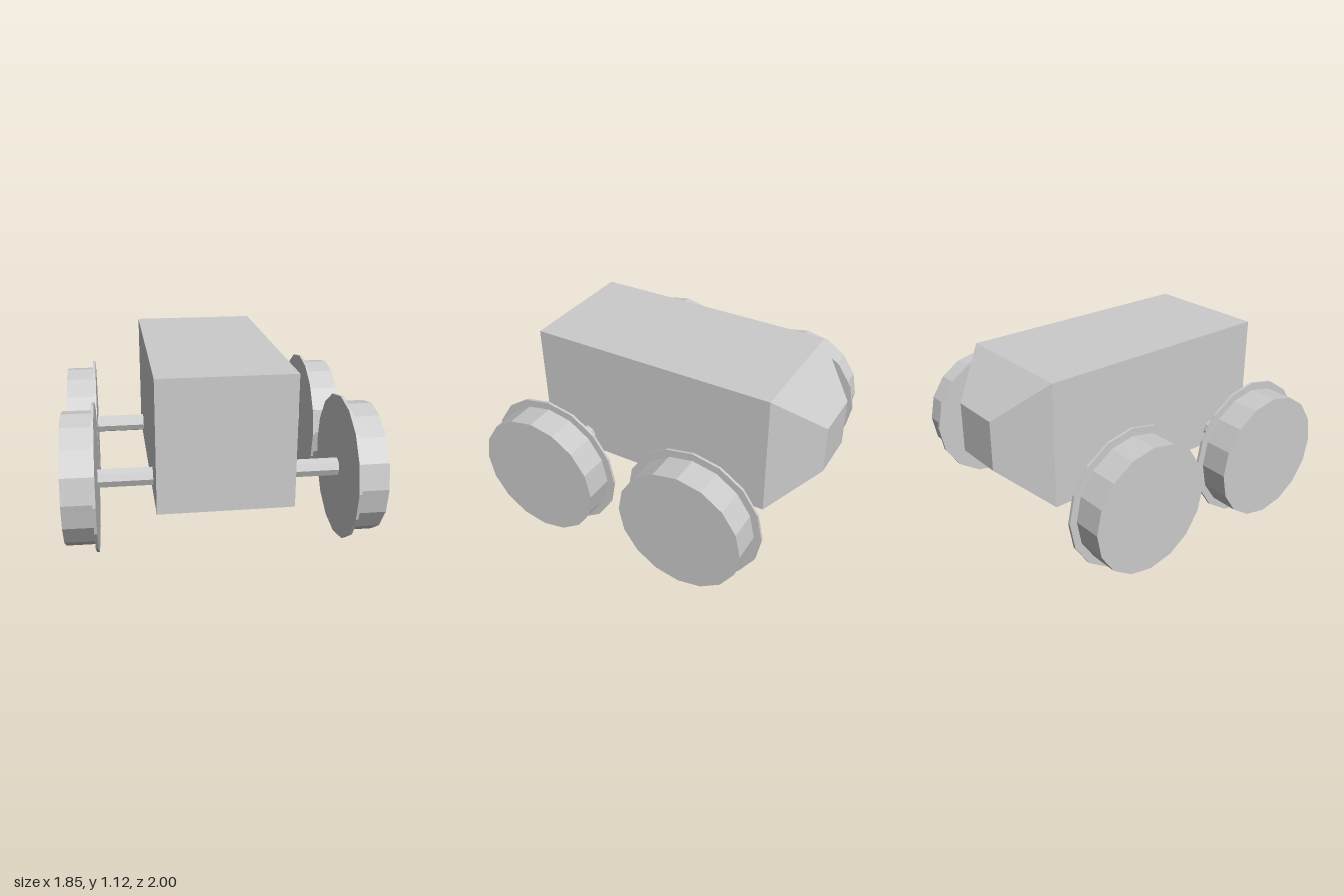
import * as THREE from 'three';

const material = new THREE.MeshStandardMaterial({ color: 0xcccccc, flatShading: true });

function addMesh(parent, name, geometry, x = 0, y = 0, z = 0) {
  const mesh = new THREE.Mesh(geometry, material);
  mesh.name = name;
  mesh.position.set(x, y, z);
  parent.add(mesh);
  return mesh;
}

// Cylinder lying along x, with a corner pointing straight up
function discGeometry(radius, length, sides) {
  return new THREE.CylinderGeometry(radius, radius, length, sides).rotateZ(Math.PI / 2);
}

// Wheel with a thin flange on its inner side; x is the flange's inner face
function makeWheel(name, x, z, yaw) {
  const wheel = new THREE.Group();
  const side = Math.sign(x);
  wheel.name = name;
  wheel.position.set(x, 0.447, z);
  wheel.rotation.y = yaw;
  addMesh(wheel, 'flange', discGeometry(0.442, 0.016, 16), side * 0.008);
  addMesh(wheel, 'tread', discGeometry(0.395, 0.178, 16), side * 0.103);
  return wheel;
}

export function createModel() {
  const model = new THREE.Group();
  model.name = 'wagon';
  const lean = -0.005; // the whole wagon sits very slightly askew

  // Body with a tapered nose at the back
  const body = new THREE.Group();
  body.name = 'body';
  body.rotation.y = lean;
  model.add(body);
  addMesh(body, 'hull', new THREE.BoxGeometry(0.795, 0.792, 1.588), 0, 0.729, 0.062);

  const noseGeometry = new THREE.BoxGeometry(0.795, 0.792, 0.268);
  const p = noseGeometry.attributes.position;
  for (let i = 0; i < p.count; i++) {
    if (p.getZ(i) < 0) p.setXY(i, p.getX(i) * 0.4, p.getY(i) * 0.395);
  }
  noseGeometry.computeVertexNormals();
  addMesh(body, 'nose', noseGeometry, 0, 0.729, -0.866);

  // Axles
  for (const [name, z] of [['frontAxle', 0.547], ['rearAxle', -0.438]]) {
    addMesh(model, name, discGeometry(0.058, 1.46, 8), 0.005, 0.44, z).rotation.y = lean;
  }

  // Wheels, the front right one toed out a little
  model.add(
    makeWheel('frontLeftWheel', 0.727, 0.555, lean),
    makeWheel('frontRightWheel', -0.727, 0.53, -0.025),
    makeWheel('rearLeftWheel', 0.73, -0.434, lean),
    makeWheel('rearRightWheel', -0.714, -0.444, lean)
  );
  return model;
}
